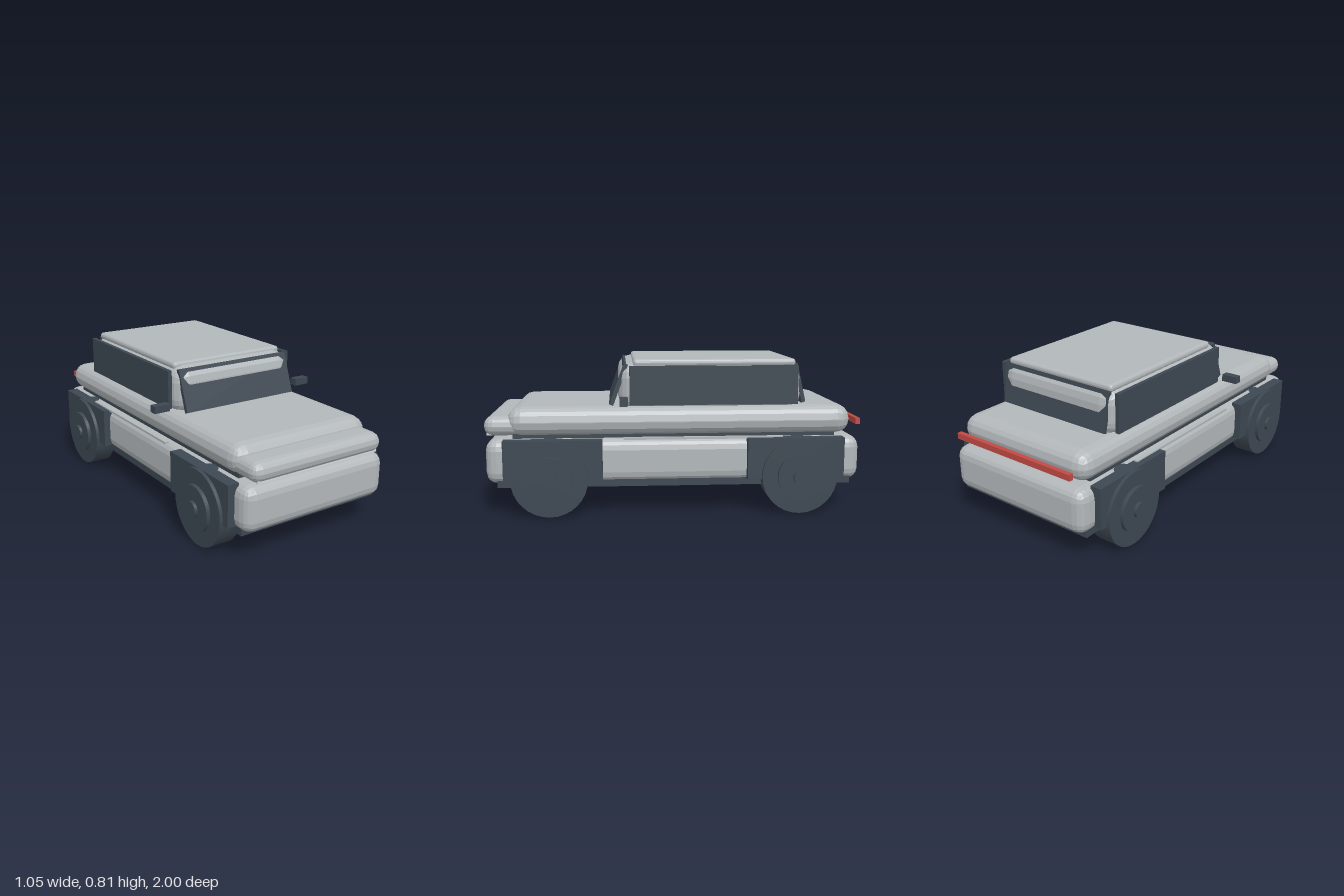
import * as THREE from 'three';
import { RoundedBoxGeometry } from 'three/addons/geometries/RoundedBoxGeometry.js';

const mat = (name, color) => {
  const m = new THREE.MeshStandardMaterial({ color });
  m.name = name;
  return m;
};

export function createModel() {
  const car = new THREE.Group();
  car.name = 'car';
  const silver = mat('silver paint', 0xb2b7ba);
  const dark = mat('dark trim', 0x3d4852);
  const red = mat('tail light red', 0xc24a45);
  const pale = mat('headlight white', 0xd5d9dc);

  const add = (name, geometry, material) => {
    const mesh = new THREE.Mesh(geometry, material);
    mesh.name = name;
    car.add(mesh);
    return mesh;
  };
  // Boxes are given by their limits: [min, max] on each axis
  const place = (g, x, y, z) =>
    g.translate((x[0] + x[1]) / 2, (y[0] + y[1]) / 2, (z[0] + z[1]) / 2);
  const box = (name, x, y, z, m) =>
    add(name, place(new THREE.BoxGeometry(x[1] - x[0], y[1] - y[0], z[1] - z[0]), x, y, z), m);
  const softBox = (name, x, y, z, r, m) => {
    const g = new RoundedBoxGeometry(x[1] - x[0], y[1] - y[0], z[1] - z[0], 2, r);
    g.computeVertexNormals(); // faceted rounding
    return add(name, place(g, x, y, z), m);
  };

  // Body
  softBox('lowerBody', [-0.435, 0.435], [0.165, 0.402], [-0.99, 0.99], 0.06, silver);
  softBox('upperBody', [-0.418, 0.418], [0.41, 0.565], [-0.945, 0.88], 0.075, silver);
  softBox('hoodLip', [-0.4, 0.4], [0.415, 0.518], [0.78, 1], 0.05, silver);
  box('underbody', [-0.42, 0.42], [0.147, 0.185], [-0.94, 0.93], dark);
  box('bodyCore', [-0.38, 0.38], [0.38, 0.43], [-0.86, 0.85], dark);

  // Cabin and roof
  softBox('cabin', [-0.375, 0.375], [0.54, 0.792], [-0.687, 0.296], 0.08, silver);
  softBox('roof', [-0.345, 0.345], [0.77, 0.81], [-0.652, 0.217], 0.018, silver);

  // Sloping glass: outer face runs from bottom to top, the cabin bulges through
  const glass = (name, halfWidth, zBottom, zTop, yBottom, yTop, t) => {
    const s = new THREE.Shape([
      new THREE.Vector2(zBottom, yBottom), new THREE.Vector2(zTop, yTop),
      new THREE.Vector2(zTop - t, yTop - 0.008), new THREE.Vector2(zBottom - t, yBottom - 0.008),
    ]);
    const g = new THREE.ExtrudeGeometry(s, { depth: halfWidth * 2, bevelEnabled: false });
    g.translate(0, 0, -halfWidth).rotateY(-Math.PI / 2);
    add(name, g, dark);
  };
  glass('windshield', 0.345, 0.345, 0.265, 0.573, 0.788, 0.022);
  glass('rearWindow', 0.34, -0.708, -0.662, 0.58, 0.785, -0.02);

  // Light bars
  box('headlightBar', [-0.37, 0.37], [0.418, 0.448], [0.955, 0.984], pale);
  box('tailLightBar', [-0.38, 0.38], [0.46, 0.492], [-1, -0.975], red);

  // Parts mirrored on both sides
  for (const side of [1, -1]) {
    const label = side > 0 ? 'left' : 'right';
    const span = (a, b) => (side > 0 ? [a, b] : [-b, -a]);
    box(label + 'SideWindow', span(0.371, 0.393), [0.573, 0.778], [-0.655, 0.237], dark);
    box(label + 'Mirror', span(0.415, 0.505), [0.582, 0.62], [0.247, 0.29], dark);
    box(label + 'SideTrim', span(0.415, 0.438), [0.398, 0.41], [-0.57, 0.27], silver);

    for (const end of [1, -1]) {
      const where = label + (end > 0 ? 'Front' : 'Rear');
      const z = end * 0.655;
      box(where + 'Arch', span(0.41, 0.472), [0.185, 0.403],
        end > 0 ? [0.38, 0.893] : [-0.893, -0.38], dark);
      // Tyre, wheel disc and hub cap: radius, inner x, outer x
      [['Tyre', 0.2, 0.372, 0.49], ['WheelDisc', 0.12, 0.48, 0.51], ['HubCap', 0.04, 0.5, 0.526]]
        .forEach(([part, r, x0, x1]) => {
          const g = new THREE.CylinderGeometry(r, r, x1 - x0, 32);
          g.rotateZ(Math.PI / 2).translate(side * (x0 + x1) / 2, 0.203, z);
          add(where + part, g, dark);
        });
    }
  }
  return car;
}
